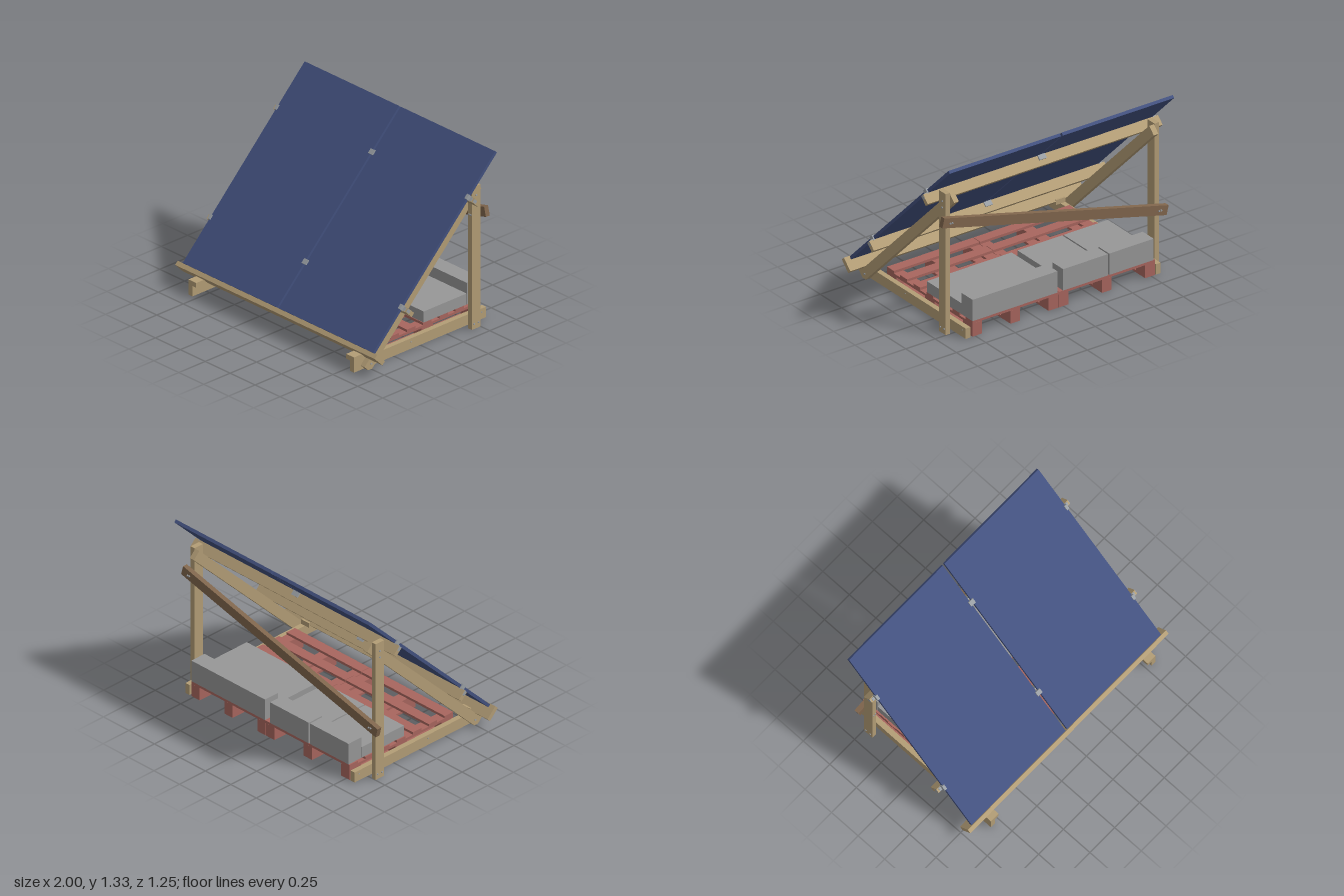
import * as THREE from 'three';

const mat = (name, color) => {
  const m = new THREE.MeshStandardMaterial({ color });
  m.name = name;
  return m;
};

export function createModel() {
  const wood = mat('pale timber', 0xb39d76);
  const brown = mat('brown timber', 0x80664d);
  const blue = mat('panel blue', 0x43517f);
  const red = mat('pallet red', 0xa8665e);
  const concrete = mat('concrete grey', 0x979797);
  const metal = mat('metal grey', 0x9a9fa4);

  const model = new THREE.Group();
  model.name = 'solarPanelStand';

  // Box given by its min and max on each axis
  const box = (parent, name, m, x0, x1, y0, y1, z0, z1) => {
    const mesh = new THREE.Mesh(new THREE.BoxGeometry(x1 - x0, y1 - y0, z1 - z0), m);
    mesh.position.set((x0 + x1) / 2, (y0 + y1) / 2, (z0 + z1) / 2);
    mesh.name = name;
    parent.add(mesh);
    return mesh;
  };
  // Same, mirrored to the other side
  const pair = (parent, name, m, x0, x1, ...rest) => {
    box(parent, name, m, x0, x1, ...rest);
    box(parent, name, m, -x1, -x0, ...rest);
  };
  const bolt = (x, y, z, axis, length, radius = 0.007) => {
    const mesh = new THREE.Mesh(new THREE.CylinderGeometry(radius, radius, length, 10), metal);
    if (axis === 'x') mesh.rotation.z = Math.PI / 2;
    else mesh.rotation.x = Math.PI / 2;
    mesh.position.set(x, y, z);
    mesh.name = 'bolt';
    model.add(mesh);
  };

  // Sloping frame: local y runs up the slope, local z out of the panels
  const slope = new THREE.Group();
  slope.name = 'slopingFrame';
  slope.rotation.x = -Math.PI / 4;
  model.add(slope);

  pair(slope, 'solarPanel', blue, 0.008, 0.955, -0.272, 1.362, 0.499, 0.522);
  box(slope, 'bottomRail', wood, -1, 1, -0.308, -0.274, 0.422, 0.527);
  for (const u of [0.083, 0.974]) {
    box(slope, 'crossRail', wood, -1, 1, u, u + 0.034, 0.422, 0.498);
    // Middle clamp and end clamps
    box(slope, 'middleClamp', metal, -0.022, 0.022, u - 0.002, u + 0.036, 0.522, 0.531);
    box(slope, 'middleClampStem', metal, -0.007, 0.007, u + 0.005, u + 0.029, 0.498, 0.524);
    box(slope, 'middleClampFoot', metal, -0.03, 0.03, u + 0.034, u + 0.044, 0.462, 0.498);
    pair(slope, 'endClampLip', metal, 0.943, 0.965, u - 0.002, u + 0.036, 0.522, 0.531);
    pair(slope, 'endClampBody', metal, 0.955, 0.965, u - 0.002, u + 0.036, 0.492, 0.524);
    pair(slope, 'endClampFoot', metal, 0.965, 0.985, u + 0.004, u + 0.03, 0.498, 0.503);
    pair(slope, 'endClampPlate', metal, 0.998, 1.001, u + 0.005, u + 0.029, 0.464, 0.498);
  }

  // Sloping side beams, cut level with the ground at the foot
  const profile = new THREE.Shape([
    [0.562, 0.035], [0.53, 0.002], [0.527, 0], [0.491, 0], [-0.544, 1.035], [-0.491, 1.088],
  ].map(([z, y]) => new THREE.Vector2(-z, y)));
  const beamGeo = new THREE.ExtrudeGeometry(profile, { depth: 0.04, bevelEnabled: false });
  beamGeo.rotateY(Math.PI / 2);
  for (const x of [0.83, -0.87]) {
    const beam = new THREE.Mesh(beamGeo, wood);
    beam.position.x = x;
    beam.name = 'slopingBeam';
    model.add(beam);
  }

  // Base beams, foot planks and rear posts
  pair(model, 'baseBeam', wood, 0.79, 0.83, 0, 0.08, -0.625, 0.625);
  pair(model, 'footPlank', wood, 0.752, 0.83, 0.08, 0.117, 0.49, 0.625);
  pair(model, 'rearPost', wood, 0.87, 0.908, 0, 1.095, -0.498, -0.418);

  // Diagonal brace across the rear posts
  const brace = box(model, 'rearBrace', brown, -0.985, 0.985, 0.618, 0.692, -0.535, -0.498);
  brace.rotation.z = 0.249;

  // Bolts through the joints
  for (const s of [1, -1]) {
    for (const [y, z] of [[1.025, -0.458], [0.975, -0.458], [0.04, -0.438], [0.04, -0.48]])
      bolt(s * 0.908, y, z, 'x', 0.01);
    bolt(s * 0.87, 0.042, 0.5, 'x', 0.012);
    for (const z of [0.085, -0.583]) bolt(s * 0.83, 0.053, z, 'x', 0.006, 0.005);
    const y = 0.655 + s * 0.226;
    for (const dx of [-0.009, 0.009]) bolt(s * 0.889 + dx, y, -0.478, 'z', 0.132, 0.006);
  }

  // Two pallets: skids with blocks, long boards, then cross slats
  for (const [x0, x1] of [[-0.78, 0.038], [0.042, 0.772]]) {
    const pallet = new THREE.Group();
    pallet.name = 'pallet';
    model.add(pallet);
    for (let i = 0; i < 3; i++) {
      const x = x0 + (i * (x1 - x0 - 0.082)) / 2;
      box(pallet, 'skid', red, x, x + 0.082, 0, 0.018, -0.625, 0.375);
      box(pallet, 'longBoard', red, x, x + 0.082, 0.083, 0.101, -0.625, 0.375);
      for (const z of [-0.625, -0.18, 0.265])
        box(pallet, 'palletBlock', red, x, x + 0.082, 0.018, 0.083, z, z + 0.11);
    }
    for (let i = 0; i < 7; i++) {
      const z = 0.295 - i * 0.1533;
      box(pallet, 'slat', red, x0, x1, 0.101, 0.12, z, z + 0.08);
    }
  }

  // Concrete ballast: tall rear row and low slabs before it
  for (const [x0, x1] of [[0.05, 0.772], [-0.38, 0.0], [-0.77, -0.392]]) {
    box(model, 'rearBallast', concrete, x0, x1, 0.12, 0.286, -0.625, -0.498);
    box(model, 'ballastSlab', concrete, x0, x1, 0.12, 0.205, -0.496, -0.09);
  }

  return model;
}
